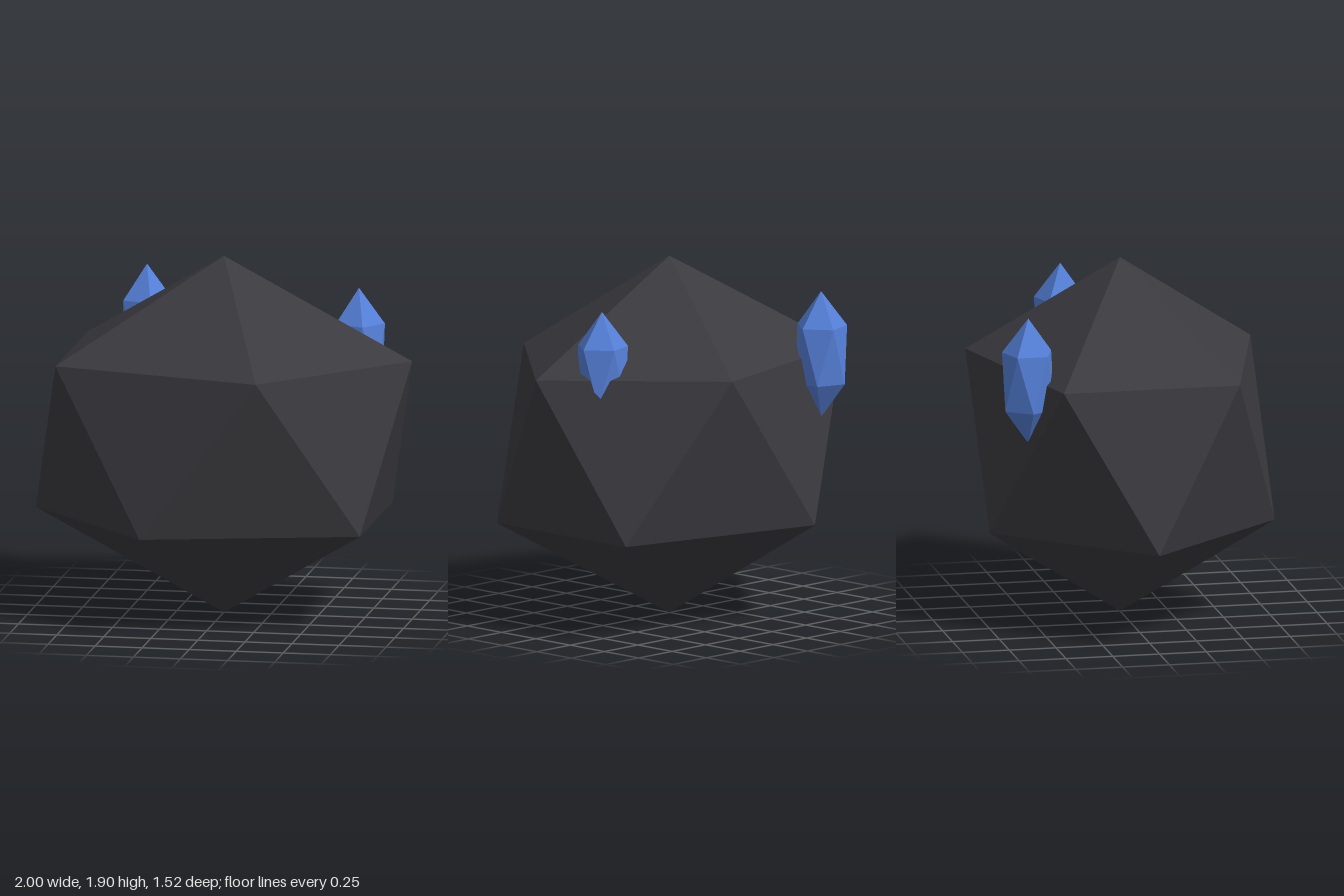
import * as THREE from 'three';

// Twenty-sided solid standing on a vertex: two pentagon rings between two tips.
function stoneGeometry(rx, halfHeight, rz) {
  const ringY = halfHeight * 0.4472;
  const ring = (y, offset) => Array.from({ length: 5 }, (_, i) => {
    const a = (i + offset) * Math.PI * 0.4;
    return [rx * Math.cos(a), y, rz * Math.sin(a)];
  });
  const upper = ring(ringY, 0);
  const lower = ring(-ringY, 0.5);
  const top = [0, halfHeight, 0];
  const bottom = [0, -halfHeight, 0];
  const points = [];
  for (let i = 0; i < 5; i++) {
    const j = (i + 1) % 5;
    points.push(
      top, upper[j], upper[i],
      upper[i], upper[j], lower[i],
      upper[j], lower[j], lower[i],
      lower[i], lower[j], bottom,
    );
  }
  const geometry = new THREE.BufferGeometry();
  geometry.setAttribute('position', new THREE.Float32BufferAttribute(points.flat(), 3));
  geometry.computeVertexNormals(); // unshared corners give flat facets
  return geometry;
}

export function createModel() {
  const rockGrey = new THREE.MeshStandardMaterial({ color: 0x3a3a3f });
  rockGrey.name = 'rockGrey';
  const crystalBlue = new THREE.MeshStandardMaterial({ color: 0x5580d8 });
  crystalBlue.name = 'crystalBlue';

  const model = new THREE.Group();
  model.name = 'crystalBoulder';

  const add = (name, geometry, material, x, y, z) => {
    const mesh = new THREE.Mesh(geometry, material);
    mesh.name = name;
    mesh.position.set(x, y, z);
    model.add(mesh);
  };

  // Boulder, flattened front to back
  add('boulder', stoneGeometry(1, 0.95, 0.8), rockGrey, 0, 0.95, 0);

  // Two tall crystals half sunk into the boulder
  const crystal = stoneGeometry(0.138, 0.335, 0.138);
  add('leftCrystal', crystal, crystalBlue, 0.685, 1.385, -0.175);
  add('rightCrystal', crystal, crystalBlue, -0.52, 1.385, -0.6);

  return model;
}
